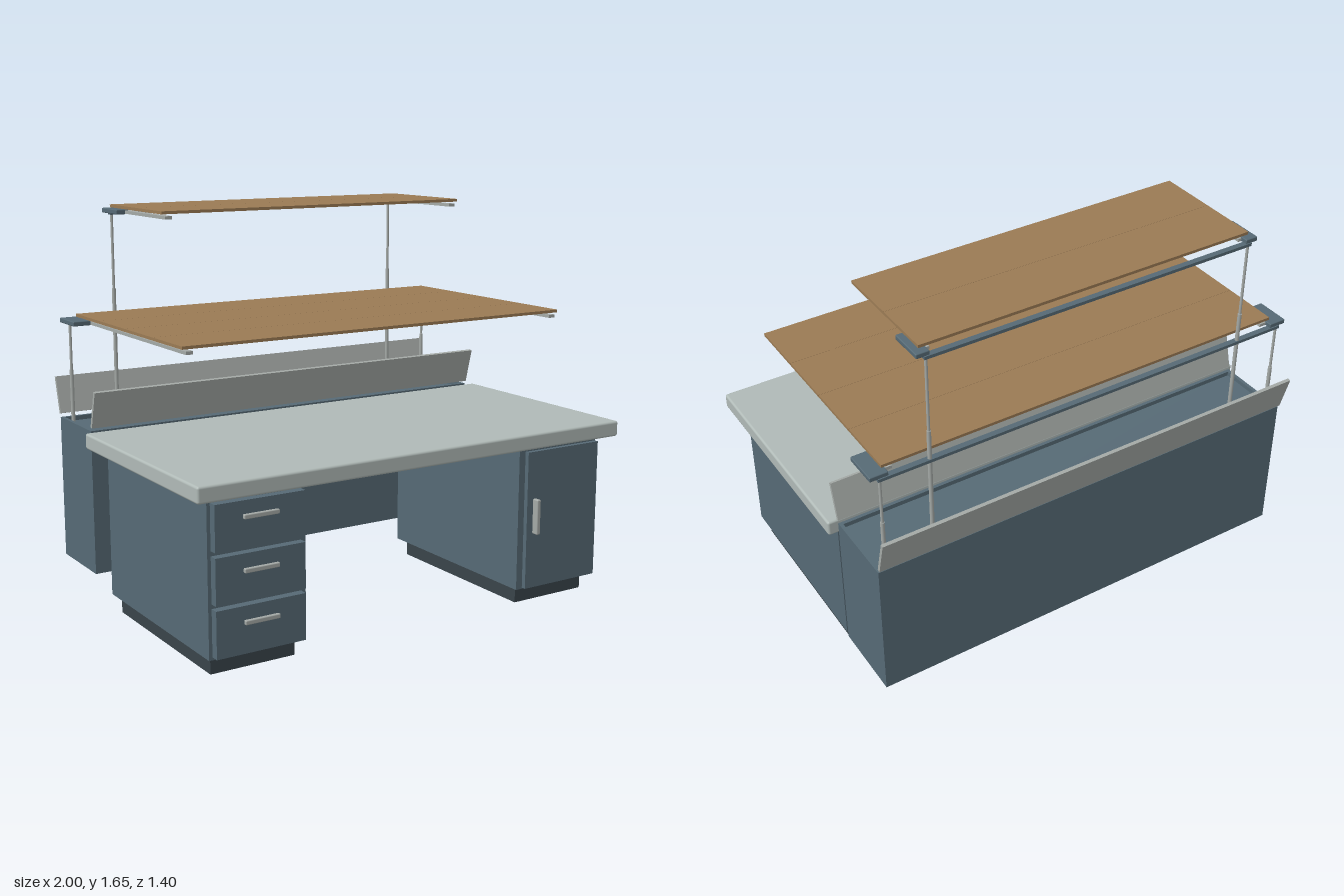
import * as THREE from 'three';
import { RoundedBoxGeometry } from 'three/addons/geometries/RoundedBoxGeometry.js';

const material = (name, color) => {
  const m = new THREE.MeshStandardMaterial({ color });
  m.name = name;
  return m;
};

export function createModel() {
  const model = new THREE.Group();
  model.name = 'workbench';
  const blue = material('slateBlue', 0x566a75);
  const pale = material('paleGreyTop', 0xb0bab7);
  const steel = material('steelGrey', 0xa5aaa7);
  const wood = material('wood', 0x9b7b54);
  const dark = material('darkPlinth', 0x39444a);

  const add = (geometry, mat, name, x, y, z) => {
    const mesh = new THREE.Mesh(geometry, mat);
    mesh.name = name;
    mesh.position.set(x, y, z);
    model.add(mesh);
    return mesh;
  };
  // Box given by its limits on each axis
  const box = (name, mat, x0, x1, y0, y1, z0, z1, radius = 0) => {
    const size = [x1 - x0, y1 - y0, z1 - z0];
    const geometry = radius ? new RoundedBoxGeometry(...size, 2, radius) : new THREE.BoxGeometry(...size);
    return add(geometry, mat, name, (x0 + x1) / 2, (y0 + y1) / 2, (z0 + z1) / 2);
  };
  // Same box on both sides
  const pair = (name, mat, x0, x1, ...rest) => {
    box(name, mat, x0, x1, ...rest);
    box(name, mat, -x1, -x0, ...rest);
  };
  const rod = (name, radius, x, y0, y1, z) =>
    add(new THREE.CylinderGeometry(radius, radius, y1 - y0, 12), steel, name, x, (y0 + y1) / 2, z);

  // Worktop, pedestals and the rail between them
  box('worktop', pale, -1, 1, 0.688, 0.754, -0.297, 0.7, 0.01);
  pair('pedestal', blue, 0.517, 0.932, 0.072, 0.688, -0.23, 0.635);
  pair('plinth', dark, 0.545, 0.907, 0, 0.072, -0.19, 0.595);
  box('backRail', blue, -0.517, 0.517, 0.515, 0.682, -0.225, -0.205);

  // Drawers with bar pulls
  for (const [y0, y1, pull] of [[0.49, 0.67, 0.61], [0.288, 0.47, 0.406], [0.084, 0.27, 0.207]]) {
    box('drawerFront', blue, -0.918, -0.538, y0, y1, 0.635, 0.67);
    box('drawerHandle', steel, -0.803, -0.655, pull - 0.009, pull + 0.009, 0.668, 0.684, 0.004);
  }

  // Door with hinges and handle
  box('door', blue, 0.535, 0.915, 0.084, 0.67, 0.65, 0.67);
  box('doorHandle', steel, 0.565, 0.584, 0.32, 0.47, 0.668, 0.7, 0.005);
  for (const y of [0.17, 0.59]) box('hinge', steel, 0.9, 0.922, y - 0.028, y + 0.028, 0.633, 0.657);

  // Rear service trough with a shallow open top
  box('troughBody', blue, -0.965, 0.965, 0.14, 0.735, -0.645, -0.317);
  pair('troughRimEnd', blue, 0.95, 0.965, 0.735, 0.754, -0.645, -0.317);
  box('troughRimBack', blue, -0.95, 0.95, 0.735, 0.754, -0.645, -0.63);
  box('troughRimFront', blue, -0.95, 0.95, 0.735, 0.754, -0.332, -0.317);
  pair('troughConnector', blue, 0.58, 0.87, 0.59, 0.67, -0.317, -0.23);

  // Flaps leaning outward on both sides of the trough
  for (const s of [1, -1]) {
    const flap = add(new THREE.BoxGeometry(1.93, 0.16, 0.014), steel, 'flap', 0, 0.846, -0.481 + s * 0.188);
    flap.rotation.x = s * 0.26;
  }

  // Raised shelves: planks on arms, brackets, crossbar and telescopic posts
  const shelf = ({ half, top, planks, bracketIn, bracketOut, post, sleeveTop }) => {
    for (let i = 0; i < planks; i++) {
      const z = -0.592 + i * 0.249;
      box('shelfPlank', wood, -half, half, top - 0.012, top, z, z + 0.248);
    }
    const front = -0.592 + planks * 0.249;
    pair('shelfArm', steel, half - 0.045, half - 0.015, top - 0.033, top - 0.02, -0.59, front);
    pair('shelfBracketArm', blue, bracketIn, bracketOut, top - 0.035, top - 0.015, -0.62, -0.472, 0.004);
    box('shelfCrossbar', blue, -post - 0.01, post + 0.01, top - 0.045, top - 0.032, -0.625, -0.6);
    for (const s of [1, -1]) {
      rod('postSleeve', 0.0085, s * post, 0.73, sleeveTop, -0.614);
      rod('post', 0.006, s * post, sleeveTop, top - 0.035, -0.614);
    }
  };
  shelf({ half: 0.9, top: 1.202, planks: 4, bracketIn: 0.885, bracketOut: 0.962, post: 0.92, sleeveTop: 0.96 });
  shelf({ half: 0.73, top: 1.655, planks: 2, bracketIn: 0.7, bracketOut: 0.755, post: 0.714, sleeveTop: 1.295 });

  return model;
}
